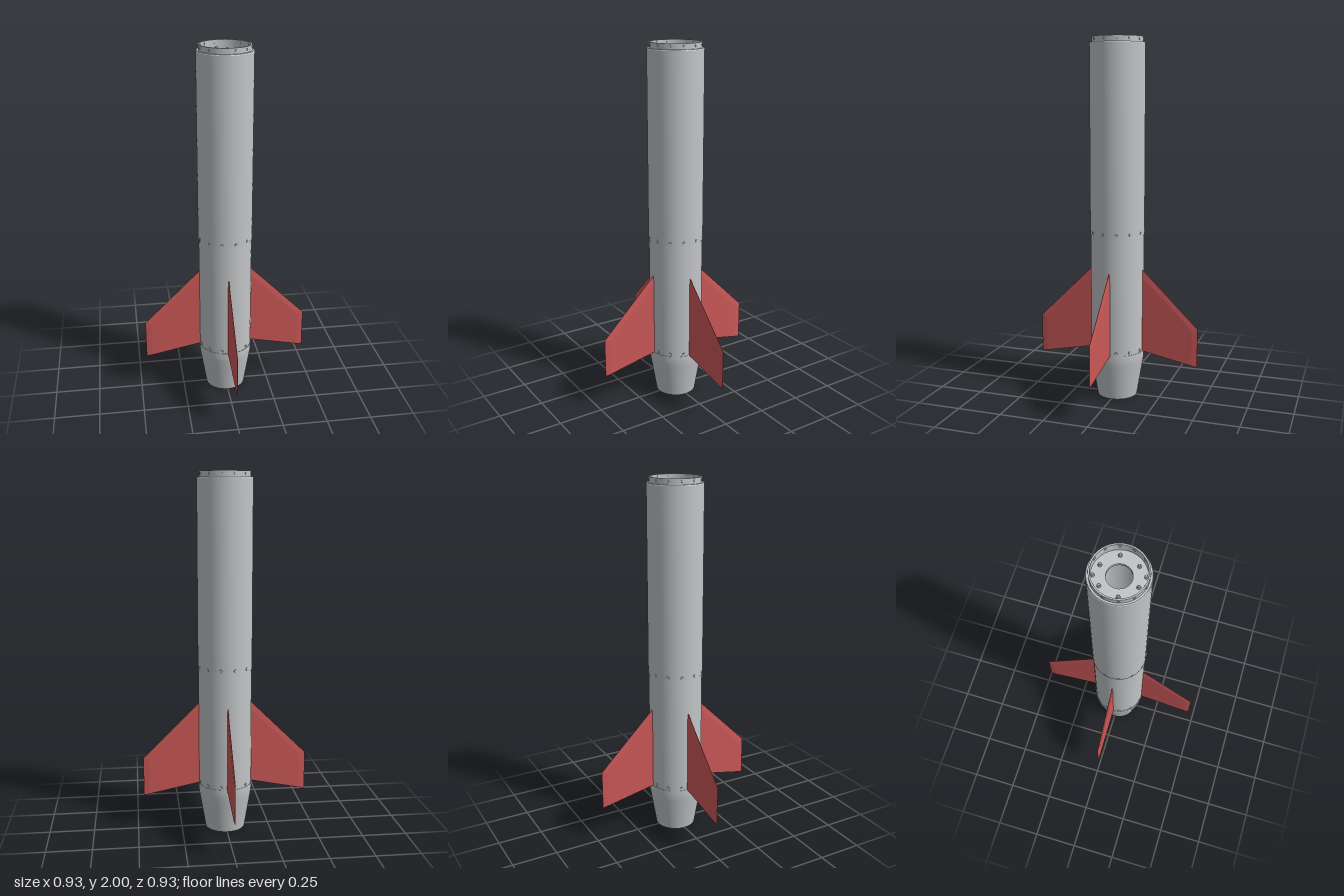
import * as THREE from 'three';
import { toCreasedNormals } from 'three/addons/utils/BufferGeometryUtils.js';
import { ConvexGeometry } from 'three/addons/geometries/ConvexGeometry.js';

const metal = new THREE.MeshStandardMaterial({ color: 0xc2c4c6 });
metal.name = 'metal grey';
const red = new THREE.MeshStandardMaterial({ color: 0xcc5858 });
red.name = 'fin red';

// Turned part; profile runs up the outside, then down the inside
function turned(name, profile) {
  const points = profile.map(([r, y]) => new THREE.Vector2(r, y));
  points.push(points[0].clone());
  const mesh = new THREE.Mesh(toCreasedNormals(new THREE.LatheGeometry(points, 64), 0.5), metal);
  mesh.name = name;
  return mesh;
}

// Ring of radial rivets through a wall
function rivetRing(name, radius, y, length, size) {
  const ring = new THREE.Group();
  ring.name = name;
  const geometry = new THREE.CylinderGeometry(size * 0.75, size, length, 8);
  for (let i = 0; i < 12; i++) {
    const a = (i + 0.5) * Math.PI / 6;
    const rivet = new THREE.Mesh(geometry, metal);
    rivet.name = 'rivet';
    rivet.position.set(Math.sin(a) * radius, y, Math.cos(a) * radius);
    rivet.quaternion.setFromUnitVectors(new THREE.Vector3(0, 1, 0), new THREE.Vector3(Math.sin(a), 0, Math.cos(a)));
    ring.add(rivet);
  }
  return ring;
}

export function createModel() {
  const rocket = new THREE.Group();
  rocket.name = 'rocketBody';

  // Body sections
  rocket.add(
    turned('tailCone', [[0.112, 0], [0.144, 0.19], [0.148, 0.215], [0.15, 0.235], [0.15, 0.265], [0.135, 0.265], [0.133, 0.2], [0.103, 0]]),
    turned('lowerTube', [[0.148, 0.26], [0.148, 0.94], [0.135, 0.94], [0.135, 0.26]]),
    turned('upperTube', [[0.151, 0.93], [0.151, 1.965], [0.148, 1.97], [0.132, 1.97], [0.132, 0.93]]),
    turned('topCollar', [[0.138, 1.94], [0.138, 2], [0.13, 2], [0.13, 1.94]]),
    turned('topPlate', [[0.133, 1.935], [0.133, 1.95], [0.061, 1.95], [0.061, 1.935]])
  );

  // Rivets on the seams and collar
  rocket.add(
    rivetRing('lowerSeamRivets', 0.148, 0.28, 0.008, 0.009),
    rivetRing('upperSeamRivets', 0.151, 0.946, 0.006, 0.009),
    rivetRing('collarRivets', 0.134, 1.986, 0.014, 0.008)
  );

  // Bolts on the recessed top plate: six inner, two outer
  const boltShaft = new THREE.CylinderGeometry(0.009, 0.011, 0.012, 12);
  const boltHead = new THREE.CylinderGeometry(0.006, 0.006, 0.006, 6);
  const bolts = [-14, 46, 106, 166, 226, 286].map(d => [d, 0.102]).concat([[76, 0.12], [256, 0.12]]);
  for (const [degrees, r] of bolts) {
    const a = THREE.MathUtils.degToRad(degrees);
    const bolt = new THREE.Group();
    bolt.name = 'plateBolt';
    const base = new THREE.Mesh(boltShaft, metal);
    base.name = 'boltBase';
    const head = new THREE.Mesh(boltHead, metal);
    head.name = 'boltHead';
    head.position.y = 0.009;
    bolt.add(base, head);
    bolt.position.set(r * Math.cos(a), 1.953, r * Math.sin(a));
    rocket.add(bolt);
  }

  // Fins: flat faces with bevelled leading and outer edges
  const face = [[0.14, 0.698], [0.432, 0.41], [0.432, 0.207], [0.14, 0.266]];
  const edge = [[0.14, 0.74], [0.464, 0.42], [0.464, 0.2]];
  const corners = [];
  for (const side of [-1, 1]) {
    for (const [x, y] of face) corners.push(new THREE.Vector3(x, y, side * 0.0045));
    for (const [x, y] of edge) corners.push(new THREE.Vector3(x, y, side * 0.001));
  }
  const finGeometry = new ConvexGeometry(corners);
  for (let i = 0; i < 4; i++) {
    const fin = new THREE.Mesh(finGeometry, red);
    fin.name = 'fin';
    fin.rotation.y = i * Math.PI / 2;
    rocket.add(fin);
  }
  return rocket;
}
